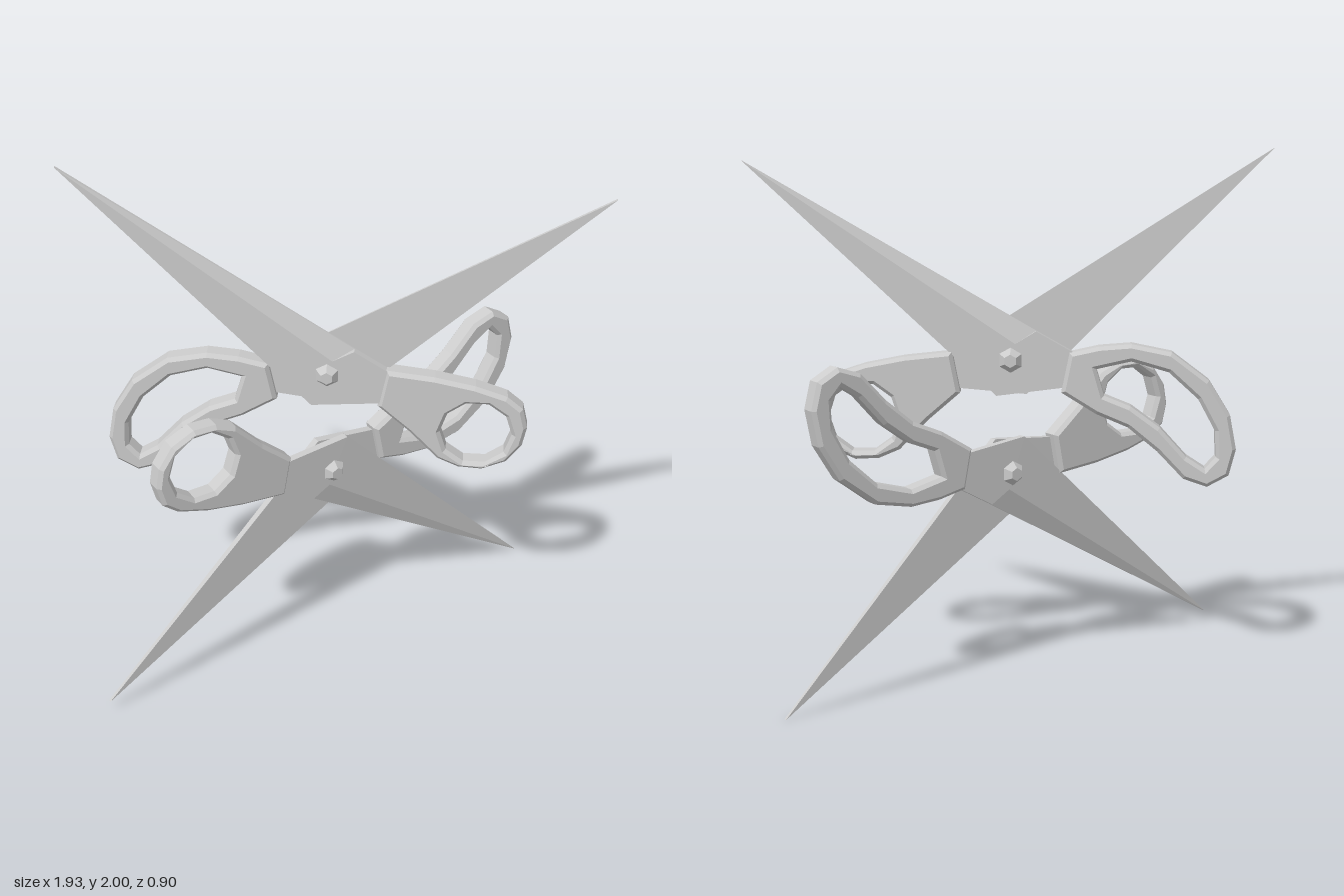
import * as THREE from 'three';

const steel = new THREE.MeshStandardMaterial({ color: 0xcccccc, flatShading: true, side: THREE.DoubleSide });
const points = (list) => list.map(([x, y]) => new THREE.Vector2(x, y));

// Key corners of a blade, in the plane of the scissors with the pivot at the origin
const TIP = [-0.957, 0.782];
const CREASE = [0.02, 0.06];
const BEVEL_END = [0.1, 0.104];

// Prism whose front corners can be lowered: lowered = [[corner, z], ...]
function plate(outline, depth, lowered) {
  const geo = new THREE.ExtrudeGeometry(new THREE.Shape(points(outline)), { depth, bevelEnabled: false });
  const p = geo.attributes.position;
  for (let i = 0; i < p.count; i++) {
    if (p.getZ(i) === 0) continue;
    for (const [[x, y], z] of lowered) {
      if (Math.hypot(p.getX(i) - x, p.getY(i) - y) < 1e-4) p.setZ(i, z);
    }
  }
  geo.computeVertexNormals();
  return geo;
}

function named(geo, name) {
  const mesh = new THREE.Mesh(geo, steel);
  mesh.name = name;
  return mesh;
}

// Blade: flat body plus a ground bevel falling to the outer edge
function makeBlade(name) {
  const blade = new THREE.Group();
  blade.name = name;
  const body = [TIP, [-0.06, -0.133], [0.22, -0.11], [0.25, 0.01], BEVEL_END, CREASE];
  blade.add(
    named(plate(body, 0.03, [[TIP, 0.012]]), 'bladeBody'),
    named(plate([TIP, CREASE, BEVEL_END], 0.03, [[TIP, 0.012], [BEVEL_END, 0.006]]), 'bladeBevel')
  );
  return blade;
}

// Handle: chamfered loop with a finger hole
function makeHandle(name, outline, hole, z) {
  const shape = new THREE.Shape(points(outline));
  shape.holes.push(new THREE.Path(points(hole)));
  const bevel = 0.014;
  const geo = new THREE.ExtrudeGeometry(shape, {
    depth: 0.08 - 2 * bevel, bevelEnabled: true, bevelSegments: 1,
    bevelSize: bevel, bevelThickness: bevel, bevelOffset: -bevel,
  });
  geo.translate(0, 0, z - 0.04 + bevel);
  return named(geo, name);
}

const thumbOutline = [
  [0.19, -0.125], [0.31, -0.23], [0.42, -0.345], [0.5, -0.38], [0.59, -0.385], [0.68, -0.345], [0.735, -0.27],
  [0.75, -0.19], [0.73, -0.11], [0.67, -0.06], [0.55, -0.02], [0.4, 0.01], [0.22, 0.03],
];
const thumbHole = Array.from({ length: 10 }, (_, i) => {
  const a = (i / 10) * Math.PI * 2;
  return [0.56 + 0.135 * Math.cos(a), -0.224 + 0.135 * Math.sin(a)];
});
const fingerOutline = [
  [-0.19, -0.12], [-0.22, 0.03], [-0.33, 0.055], [-0.45, 0.065], [-0.6, 0.035], [-0.74, -0.07], [-0.82, -0.2],
  [-0.845, -0.33], [-0.82, -0.43], [-0.74, -0.475], [-0.65, -0.445], [-0.55, -0.34], [-0.44, -0.25], [-0.32, -0.2],
];
const fingerHole = [
  [-0.32, -0.03], [-0.45, 0], [-0.59, -0.04], [-0.7, -0.14], [-0.765, -0.26], [-0.77, -0.36],
  [-0.73, -0.405], [-0.66, -0.36], [-0.56, -0.25], [-0.45, -0.17], [-0.35, -0.13],
];

function makeScissors(name) {
  const scissors = new THREE.Group();
  scissors.name = name;

  const front = makeBlade('frontBlade');
  const back = makeBlade('backBlade');
  back.rotation.set(0, Math.PI, 0);
  // The back blade is the front one turned over, swung slightly wider
  const swing = new THREE.Group();
  swing.name = 'backBladeSwing';
  swing.rotation.z = -0.05;
  swing.add(back);

  scissors.add(front, swing);
  scissors.add(makeHandle('thumbHandle', thumbOutline, thumbHole, 0));
  scissors.add(makeHandle('fingerHandle', fingerOutline, fingerHole, -0.01));

  // Six-sided domed screw head on both faces
  for (const side of [1, -1]) {
    const head = named(new THREE.CylinderGeometry(0.025, 0.05, 0.03, 6), 'pivotScrew');
    head.rotation.x = side * Math.PI / 2;
    head.position.z = side * 0.042;
    scissors.add(head);
  }
  return scissors;
}

export function createModel() {
  const model = new THREE.Group();
  model.name = 'crossedScissors';

  // Upper pair, blades up
  const upper = makeScissors('upperScissors');
  upper.position.set(0, 1.218, 0);
  upper.rotation.y = -0.477;

  // Lower pair, blades down
  const lower = makeScissors('lowerScissors');
  lower.position.set(0.01, 0.785, 0);
  lower.rotation.set(0, 0.173, Math.PI);

  model.add(upper, lower);
  return model;
}
